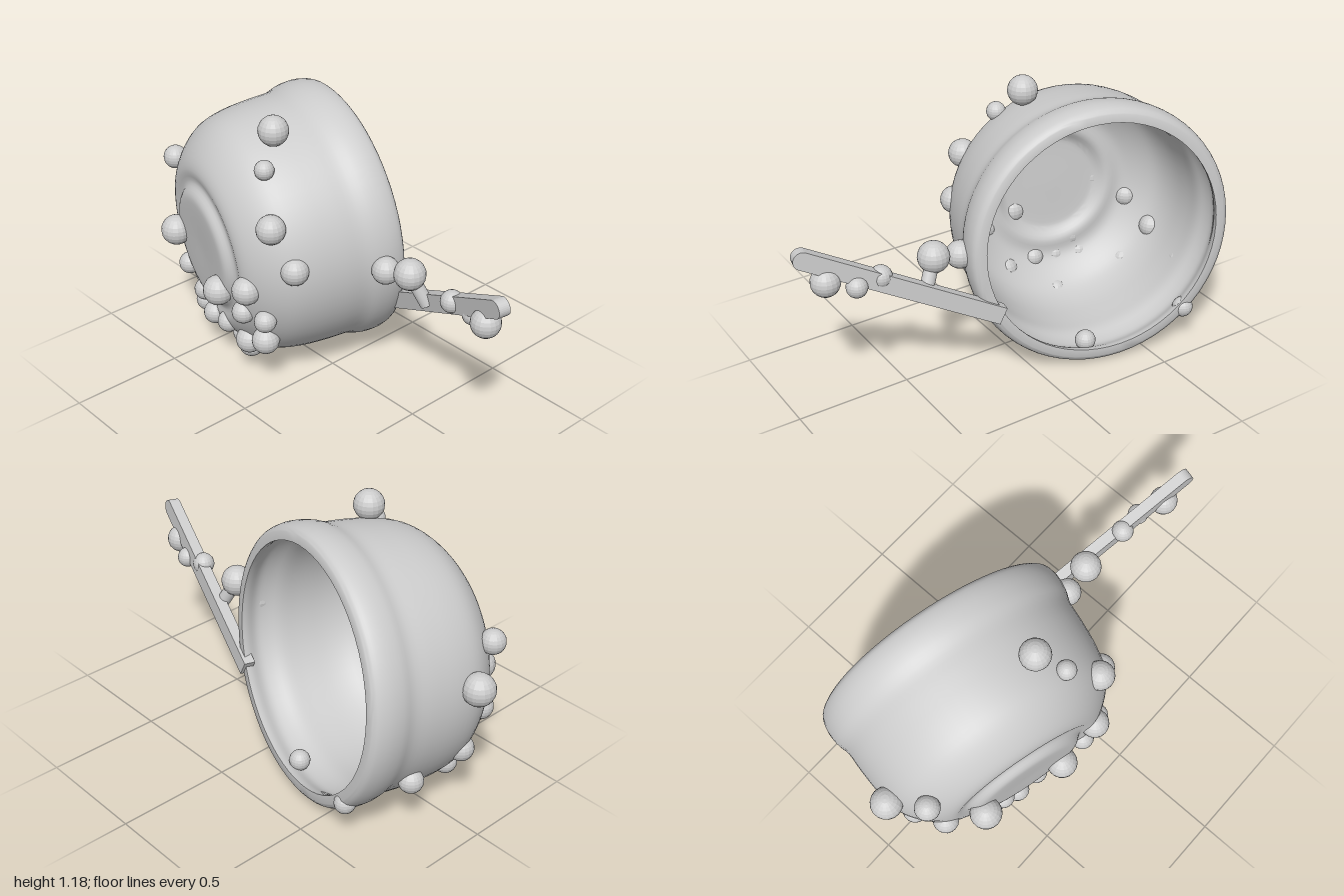
import * as THREE from 'three';
import { toCreasedNormals } from 'three/addons/utils/BufferGeometryUtils.js';

const V = (x, y, z) => new THREE.Vector3(x, y, z);
const UP = V(0, 1, 0);

export function createModel() {
  const group = new THREE.Group();
  const grey = new THREE.MeshStandardMaterial({ color: 0xcccccc });
  grey.name = 'light grey';
  const axis = V(0.967, 0.08, 0.24).normalize();
  const rimCentre = V(0.315, 0.6, -0.29);

  const add = (name, geometry) => {
    const mesh = new THREE.Mesh(geometry, grey);
    mesh.name = name;
    group.add(mesh);
    return mesh;
  };

  // Bowl: outer and inner profiles as [radius, distance from the rim plane]
  const smooth = (pts, n) =>
    new THREE.SplineCurve(pts.map(([r, t]) => new THREE.Vector2(r, t))).getPoints(n);
  const outer = smooth([
    [0, -0.69], [0.19, -0.693], [0.245, -0.685], [0.285, -0.655], [0.34, -0.66], [0.4, -0.635],
    [0.47, -0.575], [0.52, -0.5], [0.545, -0.4], [0.556, -0.28], [0.56, -0.19],
    [0.578, -0.13], [0.583, -0.07], [0.572, -0.02], [0.55, 0],
  ], 48);
  const inner = smooth([
    [0.515, 0], [0.52, -0.03], [0.54, -0.08], [0.535, -0.13], [0.518, -0.19], [0.513, -0.28],
    [0.503, -0.4], [0.478, -0.49], [0.435, -0.55], [0.375, -0.6], [0.33, -0.618],
    [0.27, -0.615], [0.225, -0.645], [0.18, -0.652], [0, -0.65],
  ], 48);
  outer[0].x = inner[48].x = 0;
  const bowl = add('bowl', toCreasedNormals(
    new THREE.LatheGeometry([...outer, ...inner], 64), 0.7));
  bowl.quaternion.setFromUnitVectors(UP, axis);
  bowl.position.copy(rimCentre);

  // Handle: flat bar lying in the rim plane, rounded at its free end
  const gripEnd = V(-0.015, 0.765, 0.965), bowlEnd = V(0.215, 0.34, 0.155);
  const along = gripEnd.clone().sub(bowlEnd);
  const length = along.length(), w = 0.038, depth = 0.05;
  along.normalize();
  const across = axis.clone().cross(along).normalize();
  const normal = along.clone().cross(across);
  const bar = new THREE.Shape();
  bar.moveTo(0, -w);
  bar.lineTo(length - w, -w);
  bar.absarc(length - w, 0, w, -Math.PI / 2, Math.PI / 2);
  bar.lineTo(0, w);
  const barGeometry = new THREE.ExtrudeGeometry(bar, { depth, bevelEnabled: false, curveSegments: 8 });
  barGeometry.translate(0, 0, -depth / 2);
  const handle = add('handle', barGeometry);
  handle.quaternion.setFromRotationMatrix(new THREE.Matrix4().makeBasis(along, across, normal));
  handle.position.copy(bowlEnd);

  // Short stem carrying a knob above the handle
  const stemFoot = V(0.11, 0.49, 0.455), knob = V(0.07, 0.62, 0.39);
  const stemDir = knob.clone().sub(stemFoot);
  const stem = add('stem', new THREE.CylinderGeometry(0.03, 0.03, stemDir.length(), 16));
  stem.position.copy(stemFoot).add(knob).multiplyScalar(0.5);
  stem.quaternion.setFromUnitVectors(UP, stemDir.normalize());

  // Faceted beads: x, y, z, radius
  const unitBead = new THREE.SphereGeometry(1, 18, 12).toNonIndexed();
  unitBead.computeVertexNormals();
  const addBeads = (name, list) => list.forEach(([x, y, z, r]) => {
    const bead = add(name, unitBead);
    bead.position.set(x, y, z);
    bead.scale.setScalar(r);
  });

  addBeads('handleBead', [
    [0.07, 0.62, 0.39, 0.068], [0.02, 0.63, 0.85, 0.062],
    [0.07, 0.595, 0.74, 0.045], [0.065, 0.605, 0.63, 0.048],
  ]);
  // Upper and front side
  addBeads('bowlBead', [
    [0.06, 0.585, 0.26, 0.06], [-0.155, 1.13, -0.19, 0.065],
    [-0.26, 1.01, -0.125, 0.042], [-0.335, 0.815, 0, 0.062],
    [-0.28, 0.635, 0.08, 0.06], [-0.4, 0.515, -0.09, 0.062],
    [-0.395, 0.425, -0.29, 0.066], [-0.36, 0.38, -0.02, 0.048],
  ]);
  // Back side
  addBeads('bowlBead', [
    [-0.02, 0.67, -0.935, 0.068], [-0.18, 0.78, -0.855, 0.053],
    [-0.32, 0.53, -0.68, 0.068], [-0.2, 0.44, -0.8, 0.055],
    [-0.27, 0.35, -0.66, 0.05], [-0.05, 0.33, -0.84, 0.055],
    [0.2, 0.28, -0.81, 0.052], [-0.1, 0.17, -0.72, 0.05],
  ]);
  // Underside and rim
  addBeads('bowlBead', [
    [-0.38, 0.38, -0.14, 0.05], [-0.32, 0.245, -0.07, 0.06],
    [-0.305, 0.18, -0.2, 0.06], [-0.24, 0.09, -0.27, 0.055],
    [-0.3, 0.2, -0.35, 0.05], [-0.29, 0.19, -0.46, 0.052],
    [-0.28, 0.27, -0.54, 0.05], [-0.25, 0.19, -0.57, 0.05],
    [-0.18, 0.065, -0.4, 0.05], [0.27, 0.095, -0.24, 0.045],
    [0.41, 0.195, -0.66, 0.045],
  ]);
  return group;
}
